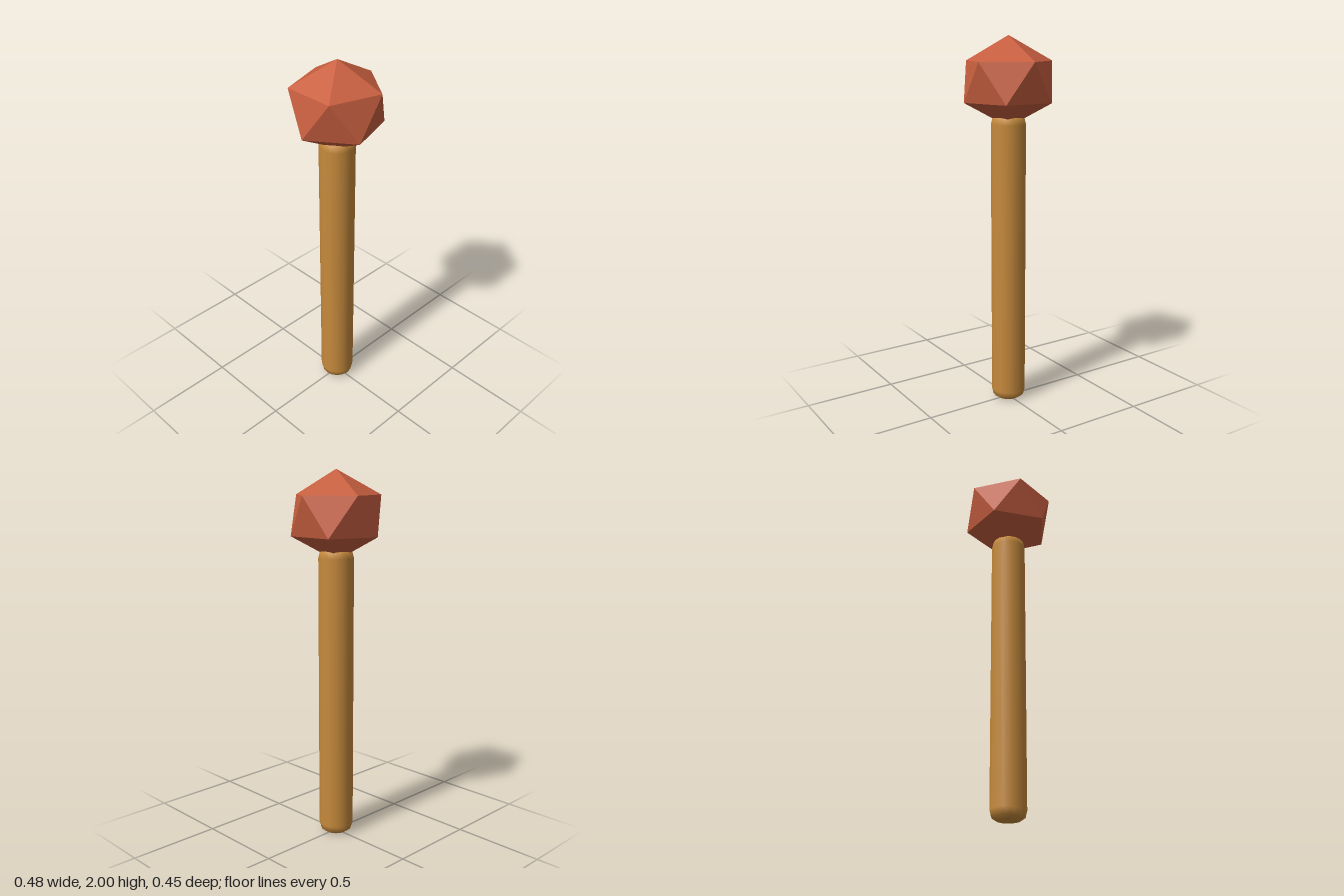
import * as THREE from 'three';
import { ConvexGeometry } from 'three/addons/geometries/ConvexGeometry.js';

export function createModel() {
  const group = new THREE.Group();

  // Handle: a turned rod with rounded ends
  const end = [[0, 0], [0.06, 0.003], [0.085, 0.02], [0.094, 0.055]];
  const height = 1.6;
  const profile = [
    ...end.map(([r, y]) => new THREE.Vector2(r, y)),
    ...end.slice().reverse().map(([r, y]) => new THREE.Vector2(r, height - y)),
  ];
  const handle = new THREE.Mesh(
    new THREE.LatheGeometry(profile, 16),
    new THREE.MeshStandardMaterial({ color: 0xc68a3c })
  );
  handle.name = 'handle';
  group.add(handle);

  // Head: a slightly flattened icosahedron standing on its point
  const centre = 1.765, halfHeight = 0.235, ringRadius = 0.238, ringOffset = 0.105;
  const points = [
    new THREE.Vector3(0, halfHeight, 0),
    new THREE.Vector3(0, -halfHeight, 0),
  ];
  for (let i = 0; i < 10; i++) {
    const a = (i * Math.PI) / 5;
    points.push(new THREE.Vector3(
      Math.cos(a) * ringRadius,
      i % 2 ? -ringOffset : ringOffset,
      Math.sin(a) * ringRadius
    ));
  }
  const head = new THREE.Mesh(
    new ConvexGeometry(points),
    new THREE.MeshStandardMaterial({ color: 0xc85f40, flatShading: true })
  );
  head.name = 'head';
  head.position.y = centre;
  group.add(head);

  return group;
}
